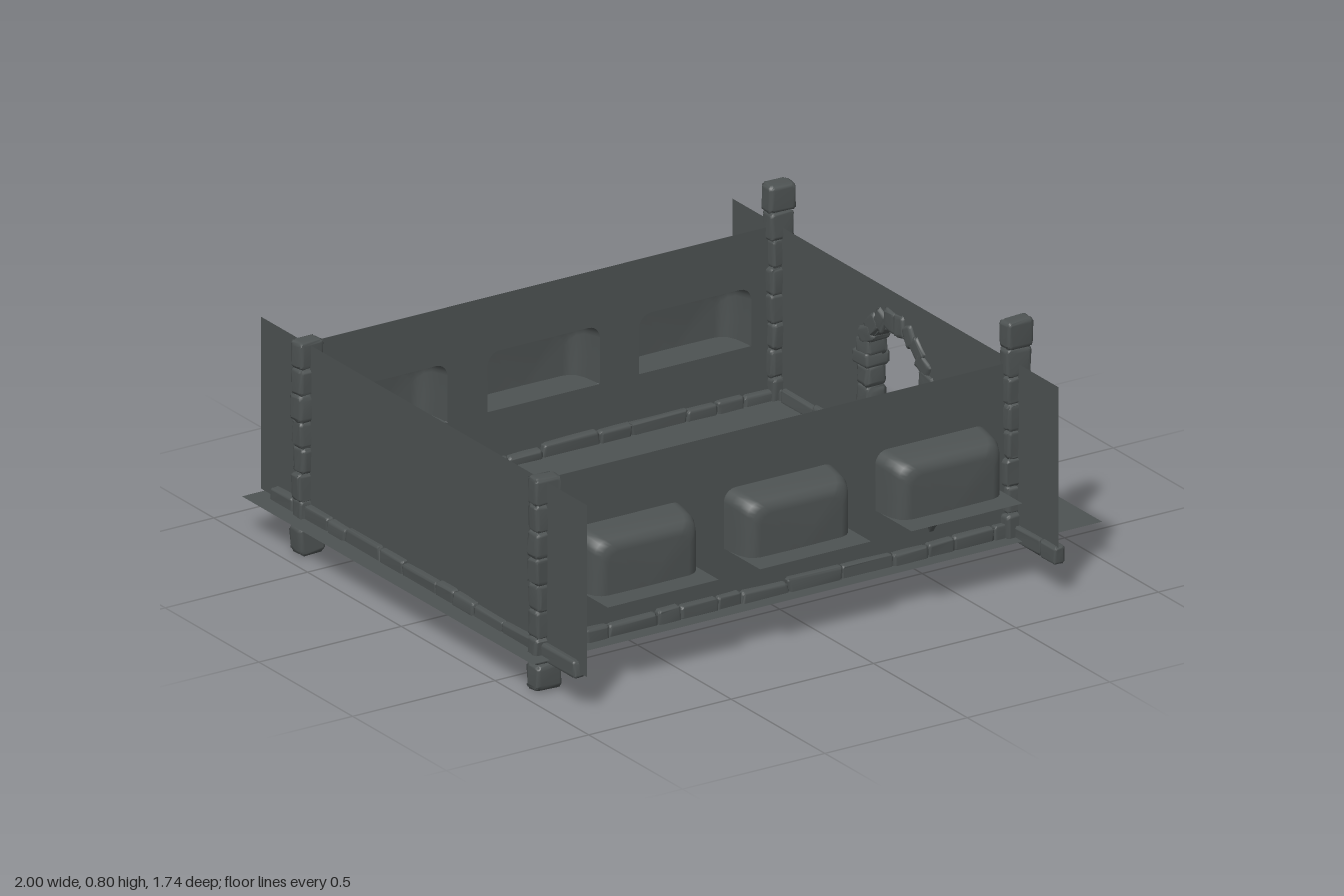
import * as THREE from 'three';
import { mergeVertices } from 'three/addons/utils/BufferGeometryUtils.js';
import { RoundedBoxGeometry } from 'three/addons/geometries/RoundedBoxGeometry.js';

const FLOOR = 0.12, TOP = 0.665, LEFT = -0.92, RIGHT = 0.735, WALL_Z = 0.63;

let seed = 7;
function rand(a, b) {
  seed = (seed * 16807) % 2147483647;
  return a + (b - a) * seed / 2147483647;
}

const stone = new THREE.MeshStandardMaterial({ color: 0x4d5252, side: THREE.DoubleSide });
stone.name = 'dark grey stone';

function add(parent, name, geometry) {
  const mesh = new THREE.Mesh(geometry, stone);
  mesh.name = name;
  parent.add(mesh);
  return mesh;
}

// Worn block: a rounded box, skewed and made lumpy
function addStone(parent, name, w, h, d, x, y, z) {
  let g = new RoundedBoxGeometry(w, h, d, 2, Math.min(w, h, d) * 0.24);
  g.deleteAttribute('uv');
  g.deleteAttribute('normal');
  g = mergeVertices(g, 1e-4);
  const p = g.attributes.position, lump = 0.05 * Math.min(w, h, d);
  const a = rand(-0.12, 0.12), b = rand(-0.12, 0.12);
  for (let i = 0; i < p.count; i++) {
    const u = p.getX(i) / w, v = p.getY(i) / h, t = p.getZ(i) / d;
    p.setXYZ(i,
      w * u * (1 + a * v) + rand(-lump, lump),
      h * v * (1 + b * u + a * t) + rand(-lump, lump),
      d * t * (1 + b * v) + rand(-lump, lump));
  }
  g.computeVertexNormals();
  const mesh = add(parent, name, g);
  mesh.position.set(x, y, z);
  return mesh;
}

// Smooth sheet through rows of [x, y, z] points
function sheet(rows) {
  const n = rows[0].length, index = [];
  for (let i = 0; i < rows.length - 1; i++) {
    for (let j = 0; j < n - 1; j++) {
      const a = i * n + j, b = a + n;
      index.push(a, a + 1, b, a + 1, b + 1, b);
    }
  }
  const g = new THREE.BufferGeometry();
  g.setAttribute('position', new THREE.Float32BufferAttribute(rows.flat(2), 3));
  g.setIndex(index);
  g.computeVertexNormals();
  return g;
}

// Flat-bottomed niche outline with rounded upper corners
const SILL = 0.3;
function nicheOutline(cx, inset) {
  const w = 0.197 - inset, top = 0.487 - inset, r = 0.04, pts = [];
  pts.push([cx + w, SILL], [cx + w, (SILL + top - r) / 2]);
  for (let i = 0; i <= 5; i++) {
    const a = i / 5 * Math.PI / 2;
    pts.push([cx + w - r + r * Math.cos(a), top - r + r * Math.sin(a)]);
  }
  const mirrored = pts.map(([x, y]) => [2 * cx - x, y]).reverse();
  return [...pts, [cx, top], ...mirrored];
}

// Slumped hollow under one niche
const SLUMP_X = 0.447;
const slumpWidth = t => 0.008 + 0.095 * t ** 1.6;

function nicheWall(slumped) {
  const group = new THREE.Group();
  const shape = new THREE.Shape([[LEFT, FLOOR], [RIGHT, FLOOR], [RIGHT, TOP], [LEFT, TOP]]
    .map(p => new THREE.Vector2(...p)));
  [-0.62, -0.085, 0.447].forEach((cx, i) => {
    const outline = nicheOutline(cx, 0);
    if (slumped && i === 2) {
      for (let k = 6; k >= 0; k--) outline.push([SLUMP_X - slumpWidth(k / 6), 0.19 + 0.11 * k / 6]);
      for (let k = 0; k <= 6; k++) outline.push([SLUMP_X + slumpWidth(k / 6), 0.19 + 0.11 * k / 6]);
    }
    shape.holes.push(new THREE.Path(outline.map(p => new THREE.Vector2(...p))));

    // Hollow bulging out behind the wall
    const rows = [[0, 0], [0.004, 0.035], [0.009, 0.07], [0.02, 0.095], [0.035, 0.108], [0.055, 0.114]]
      .map(([inset, depth]) => nicheOutline(cx, inset).map(([x, y]) => [x, y, WALL_Z + depth]));
    rows.push(rows[0].map(() => [cx, SILL, WALL_Z + 0.116]));
    add(group, 'niche', sheet(rows));

    const shelf = add(group, 'nicheShelf', new THREE.PlaneGeometry(0.39, 0.19));
    shelf.rotation.x = -Math.PI / 2;
    shelf.position.set(cx, SILL, WALL_Z + 0.095);
  });
  add(group, 'wallPanel', new THREE.ShapeGeometry(shape)).position.z = WALL_Z;

  if (slumped) {
    const rows = [];
    for (let k = 0; k <= 6; k++) {
      const t = k / 6, row = [];
      for (let j = 0; j <= 8; j++) {
        const a = j / 8 * Math.PI;
        row.push([SLUMP_X + slumpWidth(t) * Math.cos(a), 0.19 + 0.11 * t, WALL_Z + 0.09 * t * Math.sin(a)]);
      }
      rows.push(row);
    }
    add(group, 'slumpedHollow', sheet(rows));
  }
  return group;
}

// Row of uneven footing stones along x or z
function footing(parent, axis, from, to, fixed) {
  let s = from;
  while (s < to - 0.01) {
    let len = rand(0.08, 0.2);
    if (to - s - len < 0.06) len = to - s;
    const h = rand(0.045, 0.06), d = rand(0.036, 0.048), mid = s + len / 2;
    const y = 0.132 + rand(-0.006, 0.006);
    if (axis === 'x') addStone(parent, 'footingStone', len, h, d, mid, y, fixed);
    else addStone(parent, 'footingStone', d, h, len, fixed, y, mid);
    s += len;
  }
}

// Stacked corner post
function post(parent, x, z, bottom, top) {
  const n = Math.round((top - bottom) / 0.085), h = (top - bottom) / n;
  for (let i = 0; i < n; i++) {
    const big = i === 0 || i === n - 1 ? 1.06 : 1;
    addStone(parent, 'postStone', 0.085 * big * rand(0.93, 1.03), h * 1.02, 0.055 * big * rand(0.93, 1.1),
      x + rand(-0.004, 0.004), bottom + (i + 0.5) * h, z + rand(-0.003, 0.003)).rotation.y = rand(-0.08, 0.08);
  }
}

export function createModel() {
  seed = 7;
  const model = new THREE.Group();
  model.name = 'stoneChamber';

  const floor = add(model, 'floor', new THREE.PlaneGeometry(2, 1.55));
  floor.rotation.x = -Math.PI / 2;
  floor.position.set(0, FLOOR, -0.075);

  // Long walls with burial niches
  const front = nicheWall(true);
  front.name = 'frontWall';
  const back = nicheWall(false);
  back.name = 'backWall';
  back.scale.z = -1;
  model.add(front, back);

  // End walls, one with an arched doorway
  const blank = add(model, 'blankEndWall', new THREE.PlaneGeometry(1.74, TOP - FLOOR));
  blank.rotation.y = Math.PI / 2;
  blank.position.set(LEFT, (TOP + FLOOR) / 2, 0);

  const shape = new THREE.Shape();
  shape.moveTo(-0.87, FLOOR).lineTo(-0.15, FLOOR).lineTo(-0.15, 0.39);
  shape.absarc(0, 0.39, 0.15, Math.PI, 0, true);
  shape.lineTo(0.15, FLOOR).lineTo(0.87, FLOOR).lineTo(0.87, TOP).lineTo(-0.87, TOP);
  const doorWall = add(model, 'doorwayWall', new THREE.ShapeGeometry(shape, 16));
  doorWall.rotation.y = Math.PI / 2;
  doorWall.position.x = RIGHT;

  // Door surround: jambs, imposts and arch stones
  const door = new THREE.Group();
  door.name = 'doorSurround';
  model.add(door);
  for (const side of [-1, 1]) {
    for (let i = 0; i < 4; i++) {
      addStone(door, 'jambStone', 0.072, 0.07, rand(0.058, 0.066), 0.762, 0.145 + i * 0.068, side * 0.17);
    }
    addStone(door, 'impostStone', 0.085, 0.045, 0.08, 0.762, 0.402, side * 0.172);
  }
  const count = 10;
  for (let i = 0; i < count; i++) {
    const a = (i + 0.5) / count * Math.PI;
    addStone(door, 'archStone', 0.075, 0.07, 0.056, 0.762, 0.415 + 0.155 * Math.sin(a), 0.17 * Math.cos(a))
      .rotation.x = a - Math.PI / 2;
  }

  // Footings and corner posts
  const trim = new THREE.Group();
  trim.name = 'stoneTrim';
  model.add(trim);
  for (const z of [-WALL_Z, WALL_Z]) {
    footing(trim, 'x', -0.88, 0.78, z);
    post(trim, -0.915, z, 0.005, 0.675);
    post(trim, 0.74, z, 0.105, 0.8);
  }
  footing(trim, 'z', -0.79, 0.83, LEFT);
  footing(trim, 'z', -0.81, -0.15, RIGHT + 0.005);
  footing(trim, 'z', 0.15, 0.87, RIGHT + 0.005);

  // Small plinth with relics in the middle of the room
  const plinth = new THREE.Group();
  plinth.name = 'plinth';
  model.add(plinth);
  add(plinth, 'plinthBlock', new THREE.BoxGeometry(0.13, 0.12, 0.065)).position.set(-0.04, 0.178, -0.012);
  add(plinth, 'plinthEnd', new THREE.BoxGeometry(0.06, 0.11, 0.055)).position.set(-0.14, 0.173, -0.025);
  for (const [x, z, h] of [[-0.08, -0.02, 0.08], [-0.05, -0.005, 0.05], [-0.02, -0.03, 0.06], [0, -0.01, 0.03]]) {
    add(plinth, 'relic', new THREE.CylinderGeometry(0.006, 0.01, h, 7)).position.set(x, 0.238 + h / 2, z);
  }
  return model;
}
